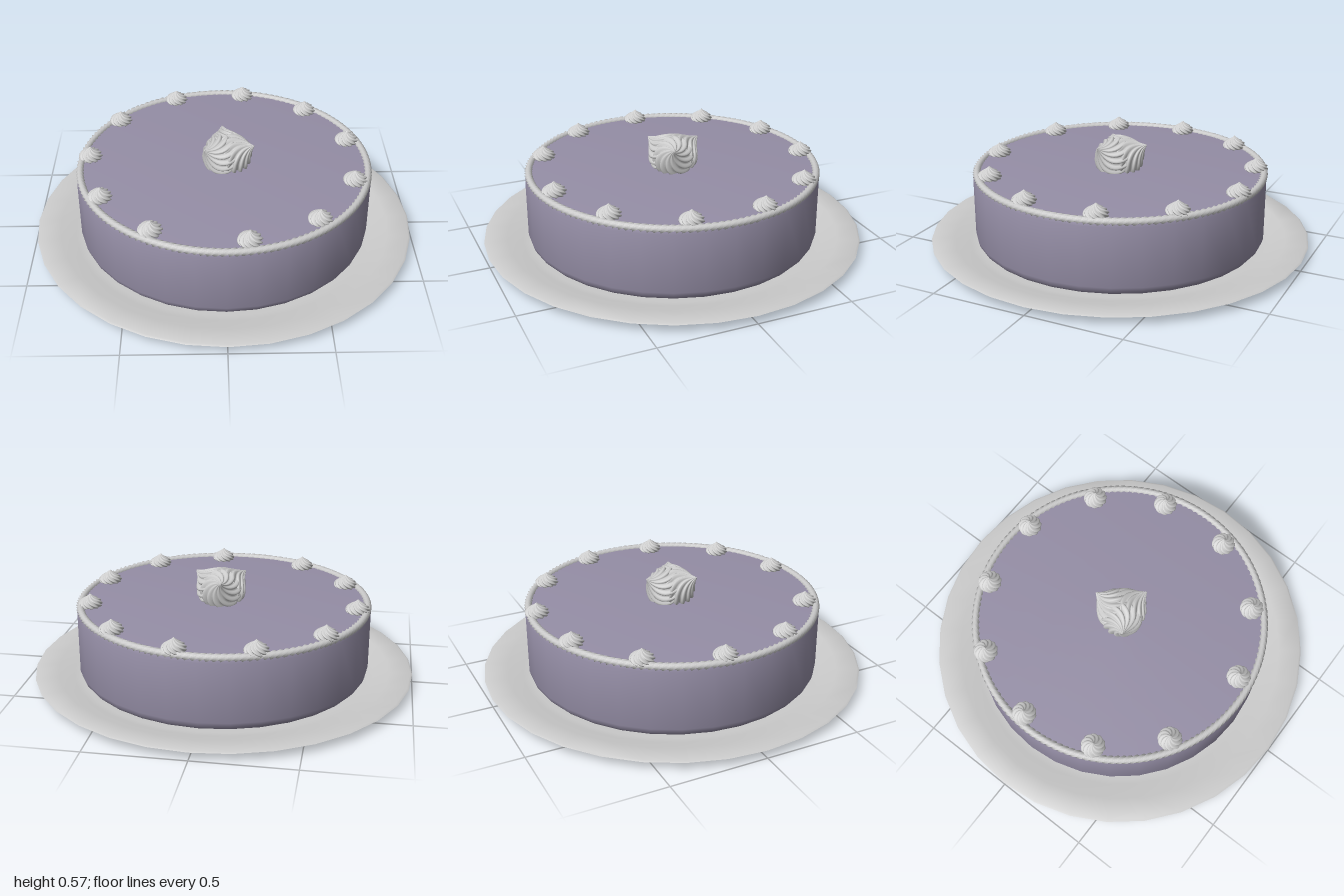
import * as THREE from 'three';
import { mergeVertices, toCreasedNormals } from 'three/addons/utils/BufferGeometryUtils.js';

const cream = new THREE.MeshStandardMaterial({ color: 0xcccccc });
const icing = new THREE.MeshStandardMaterial({ color: 0x958ea6 });
const v2 = ([x, y]) => new THREE.Vector2(x, y);

function named(name, geometry, material) {
  const mesh = new THREE.Mesh(geometry, material);
  mesh.name = name;
  return mesh;
}

function turned(name, profile, material) {
  const geometry = new THREE.LatheGeometry(profile.map(v2), 32);
  return named(name, toCreasedNormals(geometry, 0.6), material);
}

// Weld the seam and rebuild smooth normals after a deformation
function smooth(geometry) {
  geometry.deleteAttribute('uv');
  geometry.deleteAttribute('normal');
  const welded = mergeVertices(geometry, 1e-5);
  welded.computeVertexNormals();
  return welded;
}

// Piped dollop of unit radius and height: fluted and twisted towards its tip
function dollopGeometry(lobes, twist) {
  const curve = new THREE.SplineCurve([
    [0.82, 0], [0.97, 0.12], [1, 0.27], [0.92, 0.43], [0.74, 0.57],
    [0.47, 0.71], [0.24, 0.83], [0.1, 0.93], [0, 1],
  ].map(v2));
  const profile = [new THREE.Vector2(0, 0), ...curve.getPoints(18)];
  const geometry = new THREE.LatheGeometry(profile, lobes * 6);
  const p = geometry.attributes.position;
  for (let i = 0; i < p.count; i++) {
    const x = p.getX(i), y = p.getY(i), z = p.getZ(i);
    const a = Math.atan2(z, x);
    const r = Math.hypot(x, z) * (0.8 + 0.22 * Math.abs(Math.sin(a * lobes / 2)));
    const t = a + twist * y;
    p.setXYZ(i, r * Math.cos(t), y, r * Math.sin(t));
  }
  return smooth(geometry);
}

// Rope of piped cream: a ring whose fluted cross-section turns as it goes round
function ropeGeometry(radius, tube, lobes, turns) {
  const geometry = new THREE.TorusGeometry(radius, tube, lobes * 2, 480);
  const p = geometry.attributes.position;
  for (let i = 0; i < p.count; i++) {
    const x = p.getX(i), y = p.getY(i), h = p.getZ(i);
    const u = Math.atan2(y, x);
    const d = Math.hypot(x, y) - radius;
    const v = Math.atan2(h, d);
    const r = tube * (0.84 + 0.16 * Math.cos(v * lobes));
    const ring = radius + r * Math.cos(v + u * turns);
    p.setXYZ(i, ring * Math.cos(u), ring * Math.sin(u), r * Math.sin(v + u * turns));
  }
  return smooth(geometry).rotateX(-Math.PI / 2);
}

export function createModel() {
  const cake = new THREE.Group();
  cake.name = 'cake';

  // Plate with a shallow well and a wide flat rim
  cake.add(turned('plate', [
    [0, 0], [0.8, 0], [0.82, 0.006], [0.88, 0.033], [0.99, 0.037], [1, 0.042],
    [0.99, 0.048], [0.88, 0.043], [0.8, 0.022], [0.76, 0.018], [0, 0.018],
  ], cream));

  // Cake body with softened edges
  cake.add(turned('cakeBody', [
    [0, 0.02], [0.72, 0.02], [0.745, 0.03], [0.76, 0.047], [0.767, 0.07],
    [0.767, 0.375], [0.762, 0.39], [0.75, 0.398], [0.73, 0.4], [0, 0.4],
  ], icing));

  // Rope border
  const rope = named('ropeBorder', ropeGeometry(0.748, 0.021, 6, 24), cream);
  rope.position.y = 0.397;
  cake.add(rope);

  // Small dollops round the edge
  const small = dollopGeometry(10, 1.9);
  const spots = [
    [0.12, -0.7], [0.465, -0.525], [0.665, -0.2], [0.665, 0.185], [0.455, 0.515], [0.11, 0.675],
    [-0.36, 0.59], [-0.62, 0.31], [-0.7, -0.065], [-0.565, -0.43], [-0.26, -0.66],
  ];
  spots.forEach(([x, z], i) => {
    const dollop = named('edgeDollop', small, cream);
    dollop.position.set(x, 0.395, z);
    dollop.rotation.y = i * 0.57;
    dollop.scale.set(0.061, 0.073, 0.061);
    cake.add(dollop);
  });

  // Centre rosette: three large dollops leaning outwards
  const rosette = new THREE.Group();
  rosette.name = 'centreRosette';
  rosette.position.set(0.015, 0.445, 0);
  const large = dollopGeometry(12, 1.9);
  const up = new THREE.Vector3(0, 1, 0);
  for (let i = 0; i < 3; i++) {
    const a = -1.72 + i * Math.PI * 2 / 3;
    const axis = new THREE.Vector3(Math.cos(a), 0.62, Math.sin(a)).normalize();
    const dollop = named('centreDollop', large, cream);
    dollop.quaternion.setFromUnitVectors(up, axis);
    dollop.scale.set(0.107, 0.178, 0.107);
    rosette.add(dollop);
  }
  cake.add(rosette);

  return cake;
}
